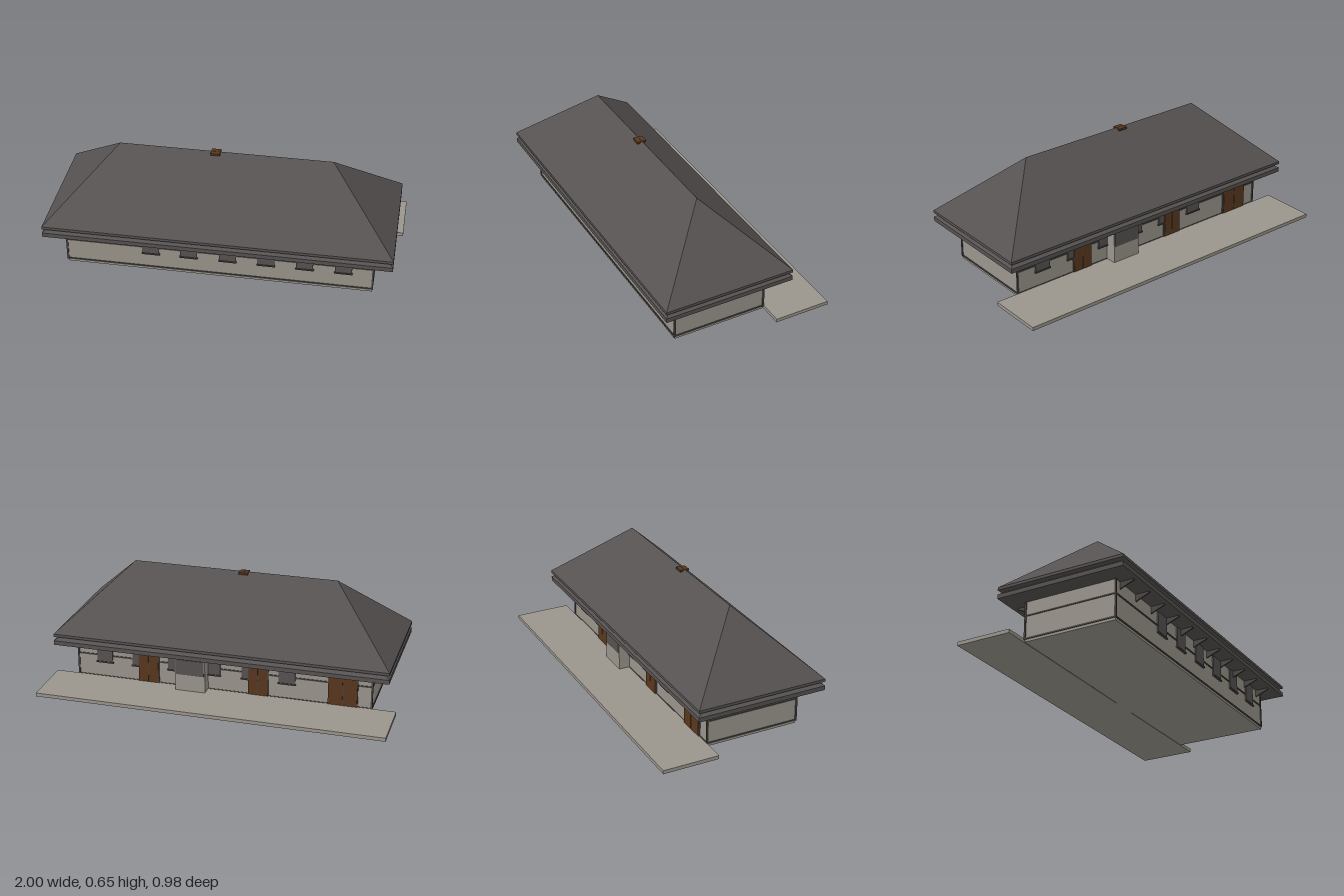
import * as THREE from 'three';

const paint = (name, color) => {
  const m = new THREE.MeshStandardMaterial({ color });
  m.name = name;
  return m;
};

export function createModel() {
  const model = new THREE.Group();
  model.name = 'longHouse';
  const plaster = paint('plaster', 0x9a958c);
  const slate = paint('slate', 0x565251);
  const timber = paint('dark timber', 0x4b4745);
  const wood = paint('brown wood', 0x59371d);

  // Box given by its minimum and maximum on each axis
  const box = (name, mat, x0, x1, y0, y1, z0, z1) => {
    const mesh = new THREE.Mesh(new THREE.BoxGeometry(x1 - x0, y1 - y0, z1 - z0), mat);
    mesh.position.set((x0 + x1) / 2, (y0 + y1) / 2, (z0 + z1) / 2);
    mesh.name = name;
    model.add(mesh);
    return mesh;
  };

  const W = 0.862, ZF = 0.38, ZB = -0.162;

  // Walls and rear terrace
  box('walls', plaster, -W, W, 0, 0.235, ZB, ZF);
  box('terrace', plaster, -1, 1, 0, 0.021, -0.49, ZB - 0.004);

  // Timber frame: corner posts and horizontal rails
  for (const sx of [-1, 1]) {
    for (const z of [ZF, ZB]) {
      box('cornerPost', timber, sx * W - 0.005, sx * W + 0.005, 0.014, 0.235, z - 0.005, z + 0.005);
    }
  }
  for (const [y0, y1] of [[0.014, 0.023], [0.146, 0.154]]) {
    box('frontRail', timber, -W, W, y0, y1, ZF - 0.002, ZF + 0.004);
    box('backRail', timber, -W, W, y0, y1, ZB - 0.004, ZB + 0.002);
    for (const sx of [-1, 1]) box('sideRail', timber, sx * W - 0.004, sx * W + 0.004, y0, y1, ZB, ZF);
  }

  // Windows with sills, in line on both long walls
  for (const x of [-0.38, -0.165, 0.055, 0.27, 0.485, 0.7]) {
    for (const [z, d] of [[ZF, 1], [ZB, -1]]) {
      const zc = z + d * 0.003;
      box('window', slate, x - 0.047, x + 0.047, 0.11, 0.235, zc - 0.004, zc + 0.004);
      box('windowSill', timber, x - 0.051, x + 0.051, 0.106, 0.114, zc - 0.008, zc + 0.008);
    }
  }

  // Back doors: framed pairs of planked leaves
  for (const [x0, x1] of [[-0.78, -0.62], [-0.27, -0.16], [0.375, 0.49]]) {
    const xm = (x0 + x1) / 2;
    box('doorFrame', timber, x0 - 0.004, x1 + 0.004, 0.021, 0.21, ZB - 0.009, ZB);
    box('doorLeaf', wood, x0, xm - 0.002, 0.023, 0.205, ZB - 0.012, ZB);
    box('doorLeaf', wood, xm + 0.002, x1, 0.023, 0.205, ZB - 0.012, ZB);
  }

  // Rear porch with a wide window
  box('porch', plaster, 0.08, 0.255, 0, 0.235, -0.228, ZB);
  box('porchWindow', slate, 0.086, 0.249, 0.12, 0.21, -0.231, -0.226);

  // Triangular eave brackets
  const tri = new THREE.Shape([[0, 0.19], [0.08, 0.222], [0.08, 0.235], [0, 0.235]]
    .map(([a, b]) => new THREE.Vector2(a, b)));
  const bracketGeo = new THREE.ExtrudeGeometry(tri, { depth: 0.008, bevelEnabled: false });
  bracketGeo.translate(0, 0, -0.004);
  for (let i = 0; i < 11; i++) {
    for (const [z, d] of [[ZF, 1], [ZB, -1]]) {
      const bracket = new THREE.Mesh(bracketGeo, timber);
      bracket.name = 'eaveBracket';
      bracket.rotation.y = -d * Math.PI / 2;
      bracket.position.set(-0.817 + i * 0.1625, 0, z);
      model.add(bracket);
    }
  }

  // Hipped roof: rectangles [y, half width, half depth] joined upwards
  const rings = [
    [0.23, 0.97, 0.378], [0.255, 0.97, 0.378], [0.28, 0.935, 0.343],
    [0.28, 0.97, 0.378], [0.296, 0.97, 0.378], [0.65, 0.595, 0],
  ].map(([y, a, b]) => [[-a, y, b], [a, y, b], [a, y, -b], [-a, y, -b]]);
  const pos = [];
  const quad = (a, b, c, d) => pos.push(...a, ...b, ...c, ...a, ...c, ...d);
  const [p, q, r, s] = rings[0];
  quad(s, r, q, p);
  for (let i = 0; i + 1 < rings.length; i++) {
    for (let k = 0; k < 4; k++) {
      const n = (k + 1) % 4;
      quad(rings[i][k], rings[i][n], rings[i + 1][n], rings[i + 1][k]);
    }
  }
  const roofGeo = new THREE.BufferGeometry();
  roofGeo.setAttribute('position', new THREE.Float32BufferAttribute(pos, 3));
  roofGeo.computeVertexNormals();
  const roof = new THREE.Mesh(roofGeo, slate);
  roof.name = 'roof';
  roof.position.z = 0.1075;
  model.add(roof);

  // Small vent cap on the ridge
  box('ridgeVent', wood, -0.082, -0.03, 0.637, 0.649, 0.081, 0.134);

  return model;
}
